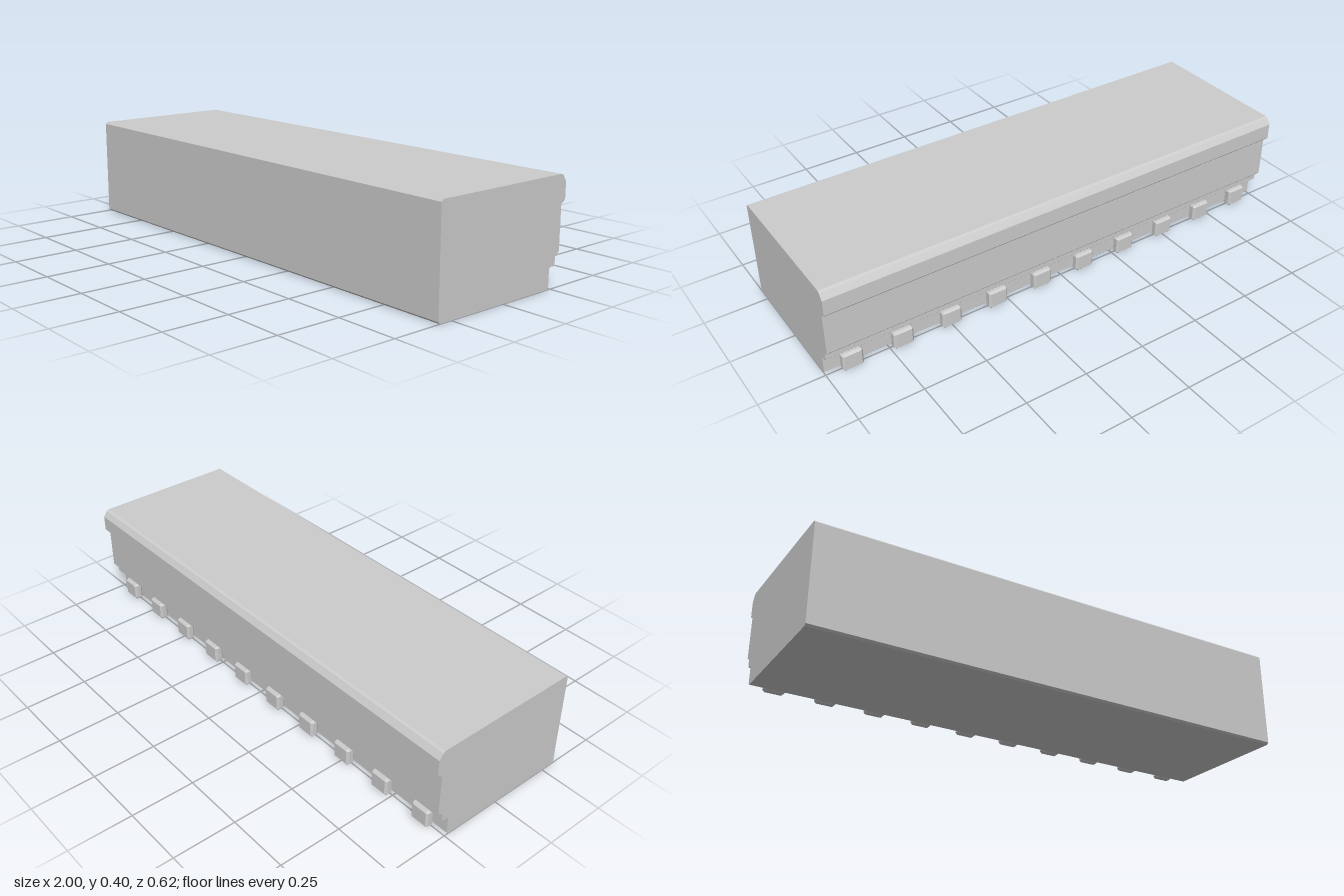
import * as THREE from 'three';
import { ConvexGeometry } from 'three/addons/geometries/ConvexGeometry.js';

const material = new THREE.MeshStandardMaterial({ color: 0xcccccc, flatShading: true });

// Box with all twelve edges chamfered by c
function chamferedBox(w, h, d, c) {
  const half = [w / 2, h / 2, d / 2];
  const points = [];
  for (const sx of [-1, 1]) for (const sy of [-1, 1]) for (const sz of [-1, 1]) {
    const s = [sx, sy, sz];
    for (let face = 0; face < 3; face++) {
      points.push(new THREE.Vector3(...half.map((v, i) => s[i] * (i === face ? v : v - c))));
    }
  }
  return new ConvexGeometry(points);
}

export function createModel() {
  const model = new THREE.Group();
  model.name = 'corniceBlock';

  // Moulded cross-section as (z, y), swept along the length
  const profile = [
    [0.31, 0.008], [0.31, 0.392], [0.302, 0.4],
    [-0.284, 0.4], [-0.294, 0.395], [-0.31, 0.372], // sloped top lip
    [-0.31, 0.31], [-0.303, 0.302], [-0.297, 0.3], [-0.29, 0.293],
    [-0.29, 0.129], [-0.283, 0.121], [-0.277, 0.12], [-0.27, 0.113], // lower steps
    [-0.27, 0.088], [-0.262, 0.08], [-0.247, 0.08], [-0.24, 0.073],
    [-0.24, 0.008], [-0.232, 0], [0.302, 0],
  ];
  const shape = new THREE.Shape(profile.map(([z, y]) => new THREE.Vector2(z, y)));
  const bodyGeometry = new THREE.ExtrudeGeometry(shape, { depth: 2, bevelEnabled: false });
  bodyGeometry.rotateY(-Math.PI / 2).translate(1, 0, 0);
  const body = new THREE.Mesh(bodyGeometry, material);
  body.name = 'mouldedBody';
  model.add(body);

  // Row of dentils under the back moulding
  const dentils = new THREE.Group();
  dentils.name = 'dentils';
  const dentilGeometry = chamferedBox(0.08, 0.075, 0.035, 0.008);
  for (let i = 0; i < 10; i++) {
    const dentil = new THREE.Mesh(dentilGeometry, material);
    dentil.name = `dentil${i + 1}`;
    dentil.position.set(-0.9 + i * 0.2, 0.0375, -0.2575);
    dentils.add(dentil);
  }
  model.add(dentils);

  return model;
}
